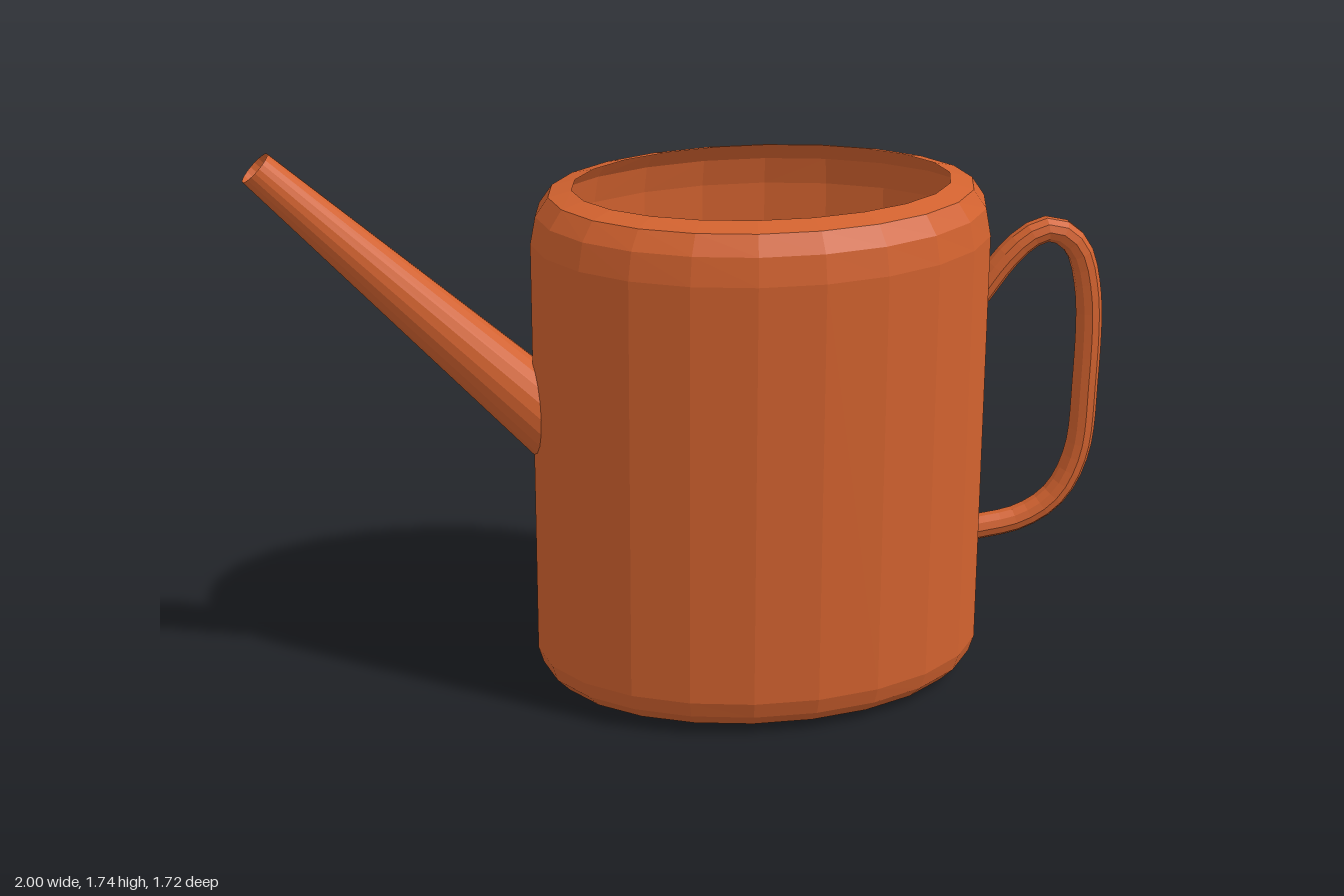
import * as THREE from 'three';

const material = new THREE.MeshStandardMaterial({
  color: 0xd2622f, flatShading: true, side: THREE.DoubleSide,
});

function part(name, geometry) {
  const mesh = new THREE.Mesh(geometry, material);
  mesh.name = name;
  return mesh;
}

// Hollow oval can: a lathed profile squeezed so every ring is inset evenly.
function bodyGeometry() {
  const a = 0.695, b = 0.49, height = 1.6;
  const bevel = [[0.12, 0], [0.057, 0.02], [0.016, 0.063], [0, 0.115]];
  const topBevel = [[0, 0.16], [0.016, 0.075], [0.055, 0.018], [0.125, 0]];
  const profile = [
    new THREE.Vector2(0, 0),
    ...bevel.map(([inset, y]) => new THREE.Vector2(a - inset, y)),
    ...topBevel.map(([inset, d]) => new THREE.Vector2(a - inset, height - d)),
  ];
  const geometry = new THREE.LatheGeometry(profile, 22, Math.PI / 2);
  const p = geometry.attributes.position;
  for (let i = 0; i < p.count; i++) {
    const r = Math.hypot(p.getX(i), p.getZ(i));
    if (r > 0.01) p.setZ(i, p.getZ(i) * (r - (a - b)) / r);
  }
  geometry.computeVertexNormals();
  return geometry;
}

export function createModel() {
  const model = new THREE.Group();
  model.name = 'wateringCan';

  // The can's long axis runs diagonally; parts are built along local x.
  const can = new THREE.Group();
  can.name = 'can';
  can.position.set(0.165, 0, 0.17);
  can.rotation.y = -THREE.MathUtils.degToRad(39.3);
  model.add(can);

  can.add(part('body', bodyGeometry()));

  // Tapered open spout
  const base = new THREE.Vector3(-0.6, 0.83, -0.04);
  const tip = new THREE.Vector3(-1.484, 1.7, -0.045);
  const axis = tip.clone().sub(base);
  const spout = part('spout', new THREE.CylinderGeometry(0.055, 0.12, axis.length(), 20, 1, true));
  spout.position.copy(base).add(tip).multiplyScalar(0.5);
  spout.quaternion.setFromUnitVectors(new THREE.Vector3(0, 1, 0), axis.normalize());
  can.add(spout);

  // Looped handle, its ends sunk into the body wall
  const path = [
    [0.675, 1.21], [0.76, 1.325], [0.835, 1.39], [0.9, 1.405], [0.975, 1.35],
    [1.02, 1.2], [1.027, 0.9], [1.01, 0.66], [0.945, 0.525], [0.84, 0.455], [0.675, 0.425],
  ].map(([x, y]) => new THREE.Vector3(x, y, 0));
  const handle = new THREE.Group();
  handle.name = 'handle';
  const radius = 0.04;
  handle.add(part('handleTube',
    new THREE.TubeGeometry(new THREE.CatmullRomCurve3(path), 32, radius, 10)));
  for (const end of [path[0], path[path.length - 1]]) {
    const cap = part('handleEnd', new THREE.SphereGeometry(radius * 0.97, 10, 6));
    cap.position.copy(end);
    handle.add(cap);
  }
  can.add(handle);

  return model;
}
